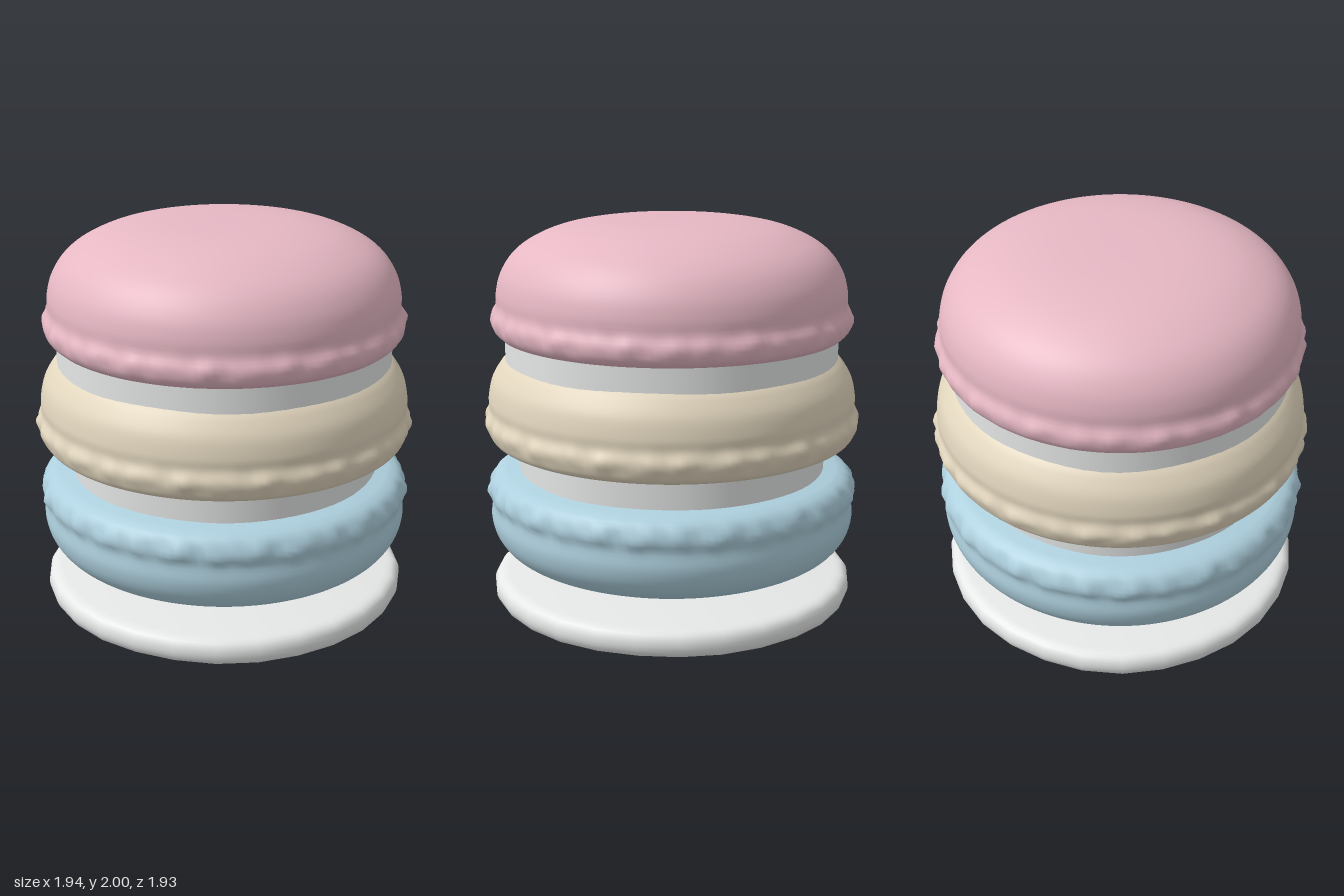
import * as THREE from 'three';
import { mergeVertices, toCreasedNormals } from 'three/addons/utils/BufferGeometryUtils.js';

const material = (name, color) => {
  const m = new THREE.MeshStandardMaterial({ color });
  m.name = name;
  return m;
};

// Irregular wave around the circle, roughly -1..1, closed at a full turn
const wave = (a, y, seed) =>
  0.4 * Math.sin(31 * a + seed + 9 * y) +
  0.35 * Math.sin(47 * a + 2.3 * seed - 22 * y) +
  0.25 * Math.sin(19 * a - 1.7 * seed + 30 * y);

// Round solid: a smooth side curve closed by flat discs, with optional ruffles around footY
function roundSolid(name, mat, side, { footY = 0, ruffle = 0, wobble = 0, segments = 160, samples = 40, seed = 1 } = {}) {
  const curve = new THREE.SplineCurve(side.map(([r, y]) => new THREE.Vector2(r, y)));
  const points = side.length > 2 ? curve.getSpacedPoints(samples) : curve.getPoints(8);
  const first = points[0], last = points[points.length - 1];
  if (first.x > 0) points.unshift(new THREE.Vector2(0, first.y));
  if (last.x > 0) points.push(new THREE.Vector2(0, last.y));

  let geometry = new THREE.LatheGeometry(points, segments);
  const p = geometry.attributes.position;
  for (let i = 0; i < p.count; i++) {
    const x = p.getX(i), y = p.getY(i), z = p.getZ(i), r = Math.hypot(x, z);
    if (r < 0.6) continue;
    const a = Math.atan2(z, x);
    const near = Math.exp(-(((y - footY) / 0.05) ** 2));
    const slow = Math.sin(5 * a + seed) * 0.5 + Math.sin(8 * a + 2 * seed) * 0.5;
    const s = 1 + (ruffle * near * wave(a, y, seed) + wobble * slow) / r;
    p.setXYZ(i, x * s, y + ruffle * 0.4 * near * wave(a, 0, seed + 2), z * s);
  }
  geometry.deleteAttribute('uv');
  geometry.deleteAttribute('normal');
  geometry = toCreasedNormals(mergeVertices(geometry, 1e-4), 0.9);
  const mesh = new THREE.Mesh(geometry, mat);
  mesh.name = name;
  return mesh;
}

export function createModel() {
  const pink = material('pink shell', 0xe6b8c4);
  const cream = material('cream shell', 0xe2d6be);
  const blue = material('blue shell', 0xaed0de);
  const white = material('white filling', 0xe8e9e9);

  const group = new THREE.Group();
  group.name = 'macaronStack';
  group.add(
    // Thin rounded base disc
    roundSolid('baseDisc', white, [
      [0.87, 0.003], [0.92, 0.02], [0.94, 0.05], [0.945, 0.08], [0.938, 0.115], [0.915, 0.14], [0.87, 0.15],
    ], { segments: 28, samples: 12, wobble: 0.004 }),

    // Bottom shell, domed downwards with its ruffled foot on top
    roundSolid('bottomShell', blue, [
      [0, 0.19], [0.3, 0.192], [0.55, 0.207], [0.72, 0.24], [0.85, 0.295], [0.92, 0.37], [0.948, 0.46],
      [0.942, 0.55], [0.957, 0.6], [0.945, 0.65], [0.915, 0.69], [0.86, 0.714],
    ], { footY: 0.62, ruffle: 0.016, samples: 60, seed: 4 }),

    roundSolid('lowerFilling', white, [[0.795, 0.7], [0.8, 0.88]], { wobble: 0.004, segments: 64 }),

    // Middle shell with a ruffled foot
    roundSolid('middleShell', cream, [
      [0.87, 0.866], [0.93, 0.89], [0.955, 0.935], [0.965, 0.985], [0.945, 1.04], [0.945, 1.1],
      [0.925, 1.19], [0.88, 1.265], [0.845, 1.302],
    ], { footY: 0.98, ruffle: 0.014, samples: 44, seed: 2 }),

    roundSolid('upperFilling', white, [[0.855, 1.28], [0.855, 1.44]], { wobble: 0.004, segments: 64 }),

    // Top shell, domed upwards with its ruffled foot below
    roundSolid('topShell', pink, [
      [0.88, 1.422], [0.91, 1.455], [0.92, 1.515], [0.895, 1.57], [0.892, 1.64], [0.868, 1.73], [0.81, 1.82],
      [0.72, 1.89], [0.58, 1.95], [0.4, 1.985], [0.2, 1.998], [0, 2.0],
    ], { footY: 1.51, ruffle: 0.012, samples: 60, seed: 7 }),
  );
  return group;
}
